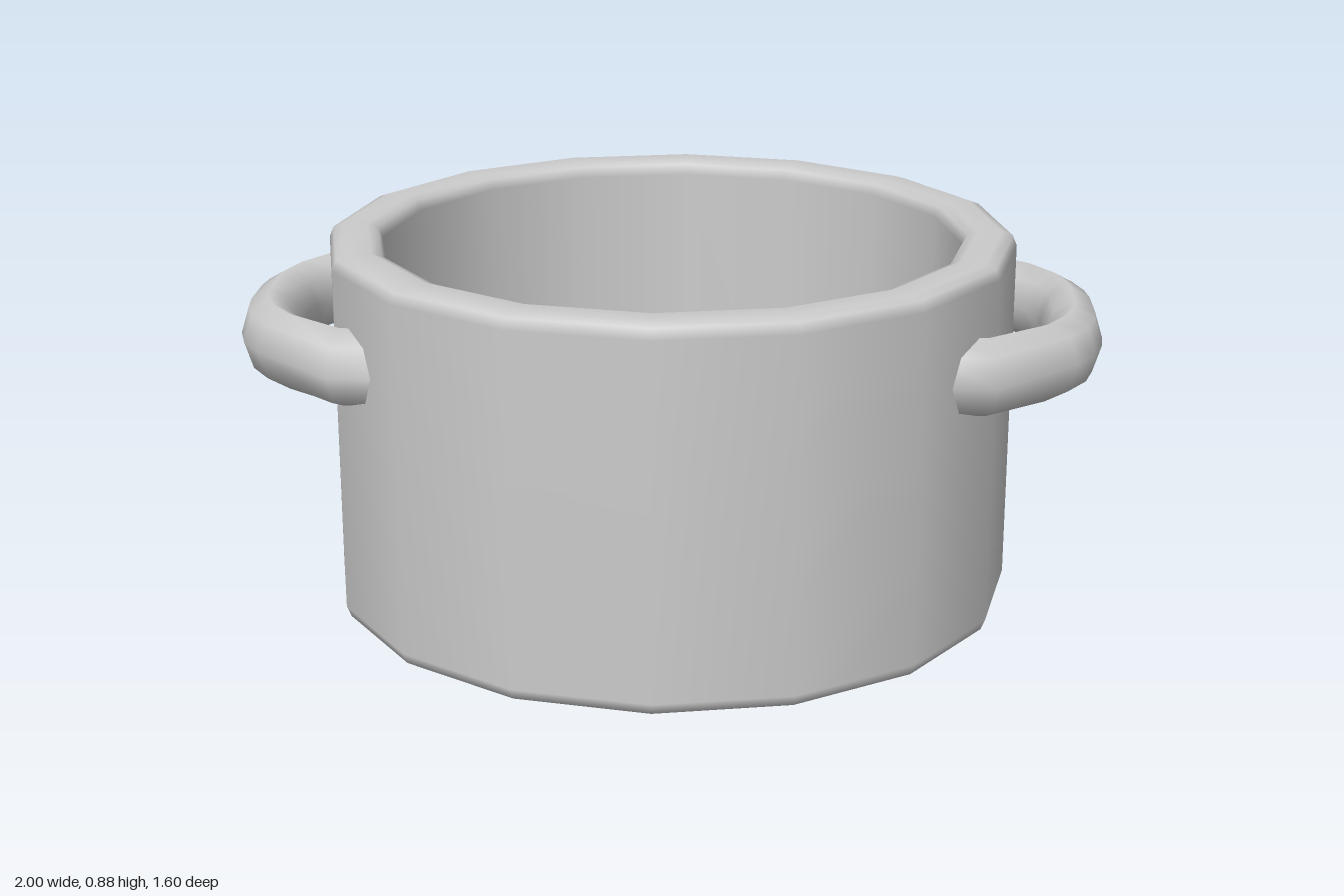
import * as THREE from 'three';

const material = new THREE.MeshStandardMaterial({ color: 0xcccccc });

// Pot body: one lathed profile, bottom centre -> outer wall -> rim -> inner wall -> floor
function createPot() {
  const profile = [
    [0, 0], [0.765, 0], [0.79, 0.009], [0.8, 0.034],
    [0.8, 0.842], [0.79, 0.866], [0.765, 0.875],
    [0.71, 0.875], [0.685, 0.866], [0.675, 0.842],
    [0.675, 0.134], [0.665, 0.11], [0.64, 0.1], [0, 0.1],
  ].map(([r, y]) => new THREE.Vector2(r, y));
  const pot = new THREE.Mesh(new THREE.LatheGeometry(profile, 16), material);
  pot.name = 'pot';
  return pot;
}

// Handle: octagonal rings spanning matching outer and inner points of the bow
function createHandleGeometry() {
  const sides = 8, height = 0.09, midY = 0.64;
  // [outer x, outer z, inner x, inner z], from the root inside the wall to the middle
  const half = [
    [0.6, 0.463, 0.66, 0.28], [0.73, 0.463, 0.70, 0.28], [0.925, 0.27, 0.785, 0.25],
    [0.972, 0.195, 0.84, 0.165], [0.993, 0.12, 0.86, 0.11], [1, 0.06, 0.867, 0.06],
  ];
  const mirrored = half.map(([ox, oz, ix, iz]) => [ox, -oz, ix, -iz]).reverse();
  const rings = [...half, ...mirrored];
  const positions = [], indices = [];
  for (const [ox, oz, ix, iz] of rings) {
    for (let j = 0; j < sides; j++) {
      const a = (j / sides) * Math.PI * 2;
      const t = (1 + Math.cos(a)) / 2;
      positions.push(ix + (ox - ix) * t, midY + height * Math.sin(a), iz + (oz - iz) * t);
    }
  }
  for (let i = 0; i < rings.length - 1; i++) {
    for (let j = 0; j < sides; j++) {
      const a = i * sides + j, b = i * sides + (j + 1) % sides;
      indices.push(a, a + sides, b, b, a + sides, b + sides);
    }
  }
  const geometry = new THREE.BufferGeometry();
  geometry.setAttribute('position', new THREE.Float32BufferAttribute(positions, 3));
  geometry.setIndex(indices);
  geometry.computeVertexNormals();
  return geometry;
}

export function createModel() {
  const model = new THREE.Group();
  model.name = 'cookingPot';
  model.add(createPot());

  // The same bow on both sides
  const geometry = createHandleGeometry();
  for (const [name, angle] of [['leftHandle', 0], ['rightHandle', Math.PI]]) {
    const handle = new THREE.Mesh(geometry, material);
    handle.name = name;
    handle.rotation.y = angle;
    model.add(handle);
  }
  return model;
}
